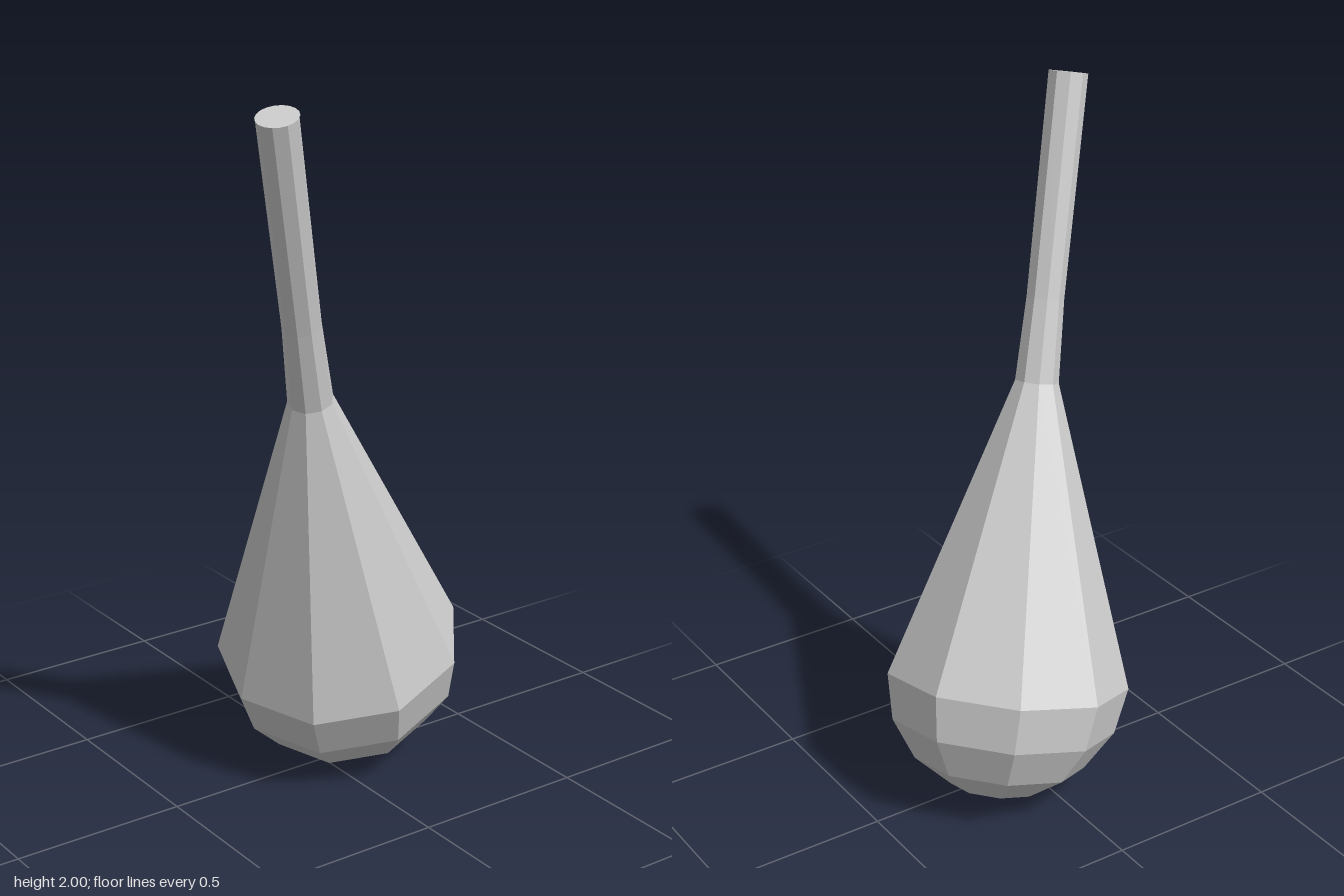
import * as THREE from 'three';

export function createModel() {
  const SIDES = 9;
  const R = 0.352;       // bulb radius
  const LENGTH = 1.718;  // bulb centre to end of the stem
  const PHASE = THREE.MathUtils.degToRad(-88);

  const material = new THREE.MeshStandardMaterial({ color: 0xcccccc, flatShading: true });

  const group = new THREE.Group();
  group.name = 'bulbWithStem';

  const lathe = (name, points) => {
    const geometry = new THREE.LatheGeometry(points, SIDES, PHASE);
    const mesh = new THREE.Mesh(geometry, material);
    mesh.name = name;
    return mesh;
  };

  // Rounded bottom: half a sphere in four bands, from pole to equator
  const bowl = [];
  for (let i = 0; i <= 4; i++) {
    const a = (i / 4) * Math.PI / 2;
    bowl.push(new THREE.Vector2(R * Math.sin(a), -R * Math.cos(a)));
  }

  // Cone from the equator to the neck, then the slender stem
  const neck = new THREE.Vector2(0.063, 0.858);
  const shoulder = [new THREE.Vector2(R, 0), neck];
  const stem = [neck, new THREE.Vector2(0.054, 1.095), new THREE.Vector2(0.056, LENGTH)];

  // Flat end of the stem
  const cap = new THREE.Mesh(new THREE.CircleGeometry(0.057, SIDES * 2, PHASE + Math.PI / 2), material);
  cap.name = 'stemCap';
  cap.rotation.x = -Math.PI / 2;
  cap.position.y = LENGTH;

  // All parts share one leaning axis
  const body = new THREE.Group();
  body.name = 'leaningBody';
  body.add(lathe('roundedBottom', bowl), lathe('cone', shoulder), lathe('stem', stem), cap);
  const axis = new THREE.Vector3(-0.246, 0.951, 0.188).normalize();
  body.quaternion.setFromUnitVectors(new THREE.Vector3(0, 1, 0), axis);
  body.position.set(0.07, 0.35, -0.02);
  group.add(body);

  return group;
}
